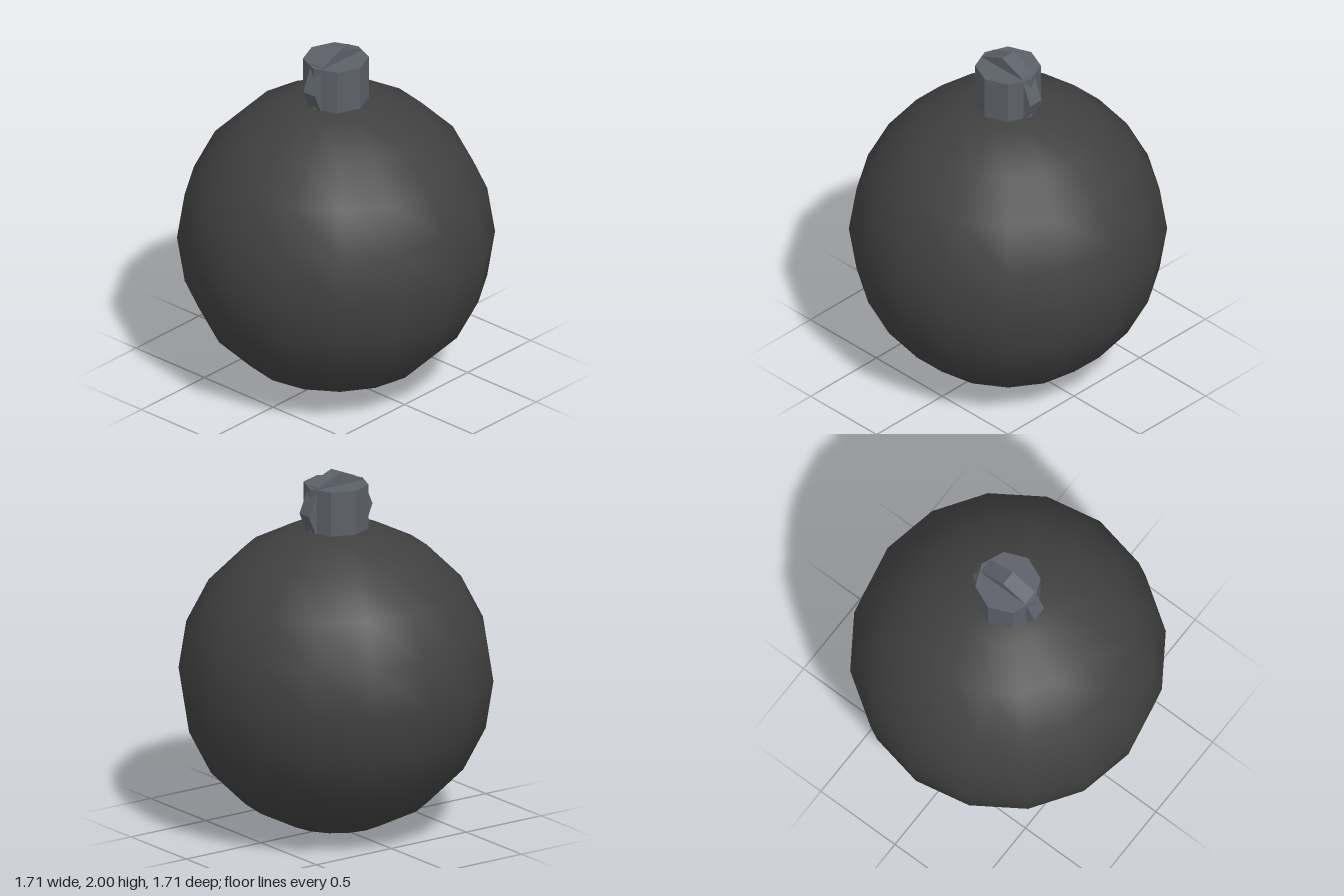
import * as THREE from 'three';

export function createModel() {
  const model = new THREE.Group();
  const charcoal = new THREE.MeshStandardMaterial({ color: 0x404040 });
  const steel = new THREE.MeshStandardMaterial({ color: 0x5c6068 });
  charcoal.name = 'charcoal';
  steel.name = 'steel';

  const add = (name, geometry, material, y) => {
    const mesh = new THREE.Mesh(geometry, material);
    mesh.name = name;
    mesh.position.y = y;
    model.add(mesh);
    return mesh;
  };
  // Split vertices so every facet gets its own normal
  const faceted = (geometry) => {
    const flat = geometry.toNonIndexed();
    flat.computeVertexNormals();
    return flat;
  };

  // Smooth round body
  const R = 0.855;
  add('body', new THREE.SphereGeometry(R, 16, 10), charcoal, R);

  // Eight-sided cap, sunk slightly into the body
  add('cap', faceted(new THREE.CylinderGeometry(0.177, 0.177, 0.26, 8)), steel, 1.8);

  // Eight-sided upright ring passing through the cap
  const w = 0.043, inner = 0.12, outer = 0.212;
  const section = [[inner, -w], [outer, -w], [outer, w], [inner, w], [inner, -w]]
    .map(([x, y]) => new THREE.Vector2(x, y));
  const ring = new THREE.LatheGeometry(section, 8).rotateX(Math.PI / 2);
  add('ring', faceted(ring), steel, 1.788);

  return model;
}
